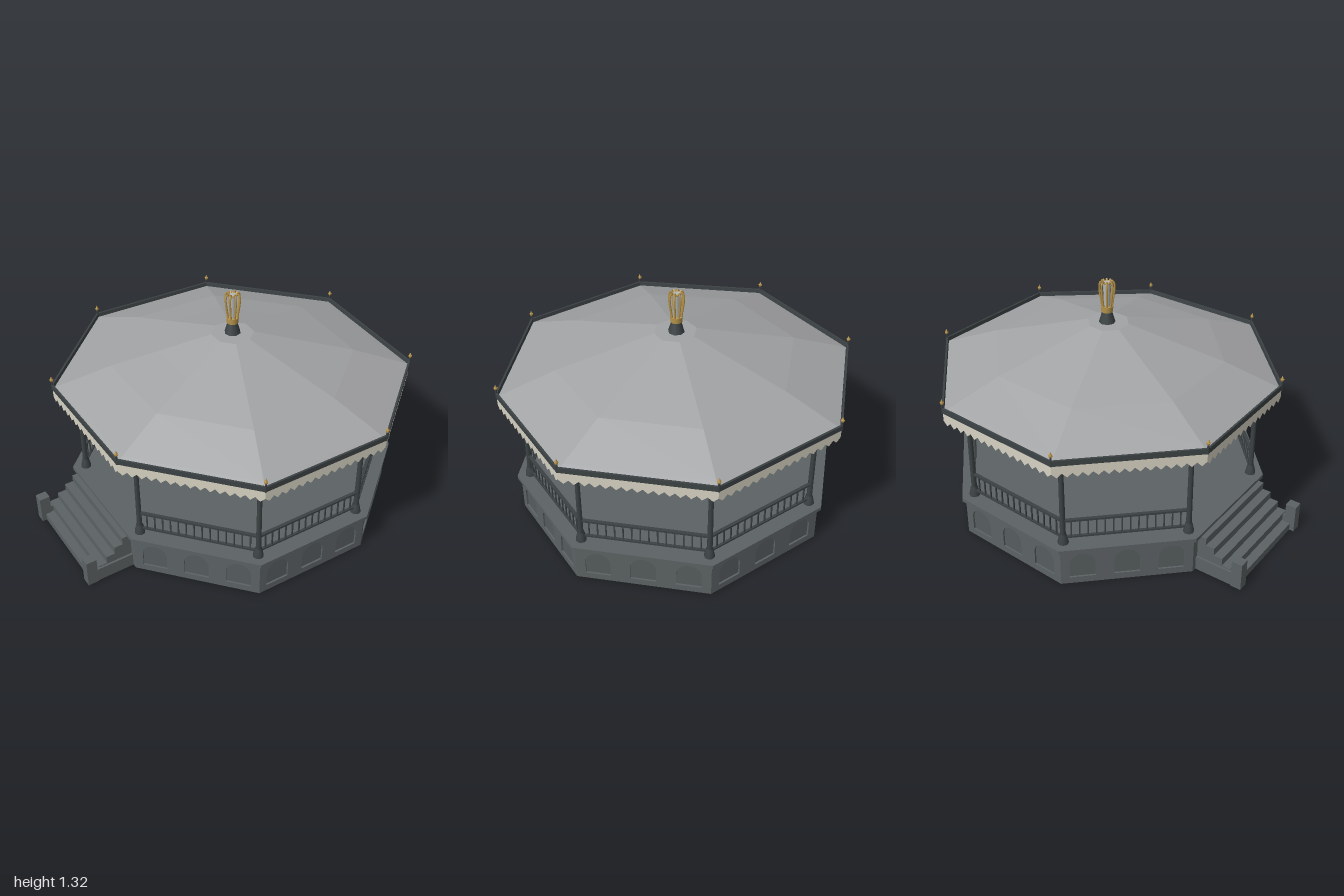
import * as THREE from 'three';

// Eave corners (x, z) of the slightly irregular octagon, and its centre
const EAVES = [[-0.46, -0.92], [0.33, -0.99], [0.93, -0.475], [0.95, 0.235],
  [0.485, 0.815], [-0.275, 0.865], [-0.87, 0.405], [-0.955, -0.35]];
const CX = 0.015, CZ = -0.055;
const STAIR_SIDE = 5;

const mat = (name, color) => Object.assign(new THREE.MeshStandardMaterial({ color }), { name });
const corner = (i, s, y = 0) => {
  const [x, z] = EAVES[i % 8];
  return new THREE.Vector3(CX + (x - CX) * s, y, CZ + (z - CZ) * s);
};

// Octagonal skin through rows of [scale, height], listed bottom to top
function loft(rows) {
  const pos = [];
  const put = (...pts) => pts.forEach((p) => pos.push(p.x, p.y, p.z));
  for (let r = 0; r < rows.length - 1; r++) {
    for (let i = 0; i < 8; i++) {
      const a = corner(i, ...rows[r]), b = corner(i + 1, ...rows[r]);
      const c = corner(i + 1, ...rows[r + 1]), d = corner(i, ...rows[r + 1]);
      if (rows[r][0] > 0) put(a, c, b);
      if (rows[r + 1][0] > 0) put(a, d, c);
    }
  }
  const g = new THREE.BufferGeometry();
  g.setAttribute('position', new THREE.Float32BufferAttribute(pos, 3));
  g.computeVertexNormals();
  return g;
}

export function createModel() {
  const model = new THREE.Group();
  const stone = mat('stone', 0x5c6264);
  const panelStone = mat('panelStone', 0x565c5e);
  panelStone.side = THREE.DoubleSide;
  const iron = mat('darkIron', 0x3c4244);
  const roofMat = mat('roofGrey', 0xa2a3a5);
  const ceilingMat = mat('ceiling', 0xaaa399);
  const cream = mat('creamValance', 0xd6d2c2);
  cream.side = THREE.DoubleSide;
  const gold = mat('gold', 0xb8954c);
  const glass = mat('lanternGlass', 0xb4b6b4);

  const add = (parent, name, geo, material, x = 0, y = 0, z = 0) => {
    const m = new THREE.Mesh(geo, material);
    m.name = name;
    m.position.set(x, y, z);
    parent.add(m);
    return m;
  };
  const box = (parent, name, material, w, h, d, x, y, z) =>
    add(parent, name, new THREE.BoxGeometry(w, h, d), material, x, y, z);

  // Group on side i: local x along the edge, local z outward
  const side = (i, s, name) => {
    const a = corner(i, s), b = corner(i + 1, s);
    const g = new THREE.Group();
    g.name = name;
    g.position.copy(a).add(b).multiplyScalar(0.5);
    g.rotation.y = Math.atan2(b.z - a.z, a.x - b.x);
    model.add(g);
    return [g, a.distanceTo(b)];
  };

  // Floor slab, roof, ceiling and gutter
  add(model, 'floor', loft([[0, 0.21], [0.936, 0.21], [0.936, 0.232], [0, 0.232]]), stone);
  add(model, 'roof', loft([[0.99, 0.803], [0.95, 0.818], [0.67, 0.92], [0.41, 0.99], [0.117, 1.073], [0, 1.073]]), roofMat);
  add(model, 'ceiling', loft([[0, 0.8], [0.99, 0.8]]), ceilingMat);
  add(model, 'gutter', loft([[0.985, 0.797], [1, 0.797], [1, 0.827], [0.988, 0.827], [0.985, 0.8]]), iron);

  const archHole = (x) => {
    const p = new THREE.Path();
    p.moveTo(x - 0.068, 0.038);
    p.lineTo(x + 0.068, 0.038);
    p.lineTo(x + 0.068, 0.12);
    p.absarc(x, 0.12, 0.068, 0, Math.PI, false);
    p.lineTo(x - 0.068, 0.038);
    return p;
  };

  for (let i = 0; i < 8; i++) {
    // Hollow plinth wall with three blind arches
    const [base, bl] = side(i, 0.915, 'plinthSide');
    const wall = new THREE.Shape();
    wall.moveTo(-bl / 2, 0);
    wall.lineTo(bl / 2, 0);
    wall.lineTo(bl / 2, 0.212);
    wall.lineTo(-bl / 2, 0.212);
    wall.closePath();
    if (i !== STAIR_SIDE) {
      for (const k of [-1, 0, 1]) wall.holes.push(archHole(k * bl * 0.335));
      add(base, 'archPanels', new THREE.PlaneGeometry(bl - 0.03, 0.19), panelStone, 0, 0.11, -0.01);
    }
    add(base, 'plinthWall', new THREE.ExtrudeGeometry(wall, { depth: 0.02, bevelEnabled: false, curveSegments: 10 }), stone, 0, 0, -0.02);

    // Valance with a pointed lower edge
    const [eave, el] = side(i, 0.995, 'valanceSide');
    const v = new THREE.Shape();
    v.moveTo(el / 2, 0.798);
    v.lineTo(-el / 2, 0.798);
    const teeth = 15;
    for (let k = 0; k < teeth; k++) {
      v.lineTo(-el / 2 + (k / teeth) * el, 0.75);
      v.lineTo(-el / 2 + ((k + 0.5) / teeth) * el, 0.726);
    }
    v.lineTo(el / 2, 0.75);
    add(eave, 'valance', new THREE.ShapeGeometry(v), cream);

    // Beam, curved brace and railing between posts
    const [bay, pl] = side(i, 0.86, 'bay');
    box(bay, 'beam', iron, pl, 0.04, 0.02, 0, 0.78, 0);
    const arc = new THREE.QuadraticBezierCurve3(new THREE.Vector3(-pl / 2, 0.66, 0),
      new THREE.Vector3(0, 0.82, 0), new THREE.Vector3(pl / 2, 0.66, 0));
    add(bay, 'archedBrace', new THREE.TubeGeometry(arc, 16, 0.007, 6), iron);
    if (i !== STAIR_SIDE) {
      box(bay, 'topRail', iron, pl, 0.012, 0.018, 0, 0.37, 0);
      box(bay, 'bottomRail', iron, pl, 0.01, 0.014, 0, 0.267, 0);
      for (let k = 1; k < 15; k++) {
        box(bay, 'baluster', iron, 0.007, 0.1, 0.007, (k / 15 - 0.5) * pl, 0.318, 0);
      }
    }

    // Post with flared foot
    const p = corner(i, 0.86);
    const post = [[0.03, 0.23], [0.028, 0.245], [0.019, 0.285], [0.015, 0.29], [0.013, 0.72], [0.02, 0.735], [0.02, 0.8]];
    add(model, 'post', new THREE.LatheGeometry(post.map((q) => new THREE.Vector2(...q)), 8), iron, p.x, 0, p.z);

    // Corner finial
    const e = corner(i, 0.995);
    add(model, 'finialRod', new THREE.CylinderGeometry(0.005, 0.006, 0.06, 6), iron, e.x, 0.825, e.z);
    add(model, 'finialCollar', new THREE.CylinderGeometry(0.011, 0.008, 0.01, 8), gold, e.x, 0.855, e.z);
    add(model, 'finialTip', new THREE.ConeGeometry(0.009, 0.022, 8), gold, e.x, 0.87, e.z);
  }

  // Stairs with low side walls and end piers
  const [stairs, ] = side(STAIR_SIDE, 0.915, 'stairs');
  for (let k = 0; k < 5; k++) {
    const h = 0.043 * (k + 1), front = 0.25 - 0.05 * k;
    const depth = k === 4 ? front : 0.05;
    box(stairs, 'step', stone, 0.61, h, depth, 0, h / 2, front - depth / 2);
  }
  for (const x of [-0.295, 0.295]) {
    box(stairs, 'stairWall', stone, 0.045, 0.08, 0.26, x, 0.04, 0.13);
    box(stairs, 'stairPier', stone, 0.055, 0.16, 0.06, x, 0.08, 0.246);
  }

  // Crown lantern on the roof
  const crown = new THREE.Group();
  crown.name = 'crownLantern';
  crown.position.set(0.012, 0, -0.062);
  model.add(crown);
  add(crown, 'crownPedestal', new THREE.CylinderGeometry(0.026, 0.046, 0.07, 8), iron, 0, 1.105, 0);
  add(crown, 'crownBand', new THREE.CylinderGeometry(0.034, 0.032, 0.032, 16), gold, 0, 1.152, 0);
  add(crown, 'lanternCore', new THREE.CylinderGeometry(0.021, 0.018, 0.14, 8), glass, 0, 1.236, 0);
  const rib = new THREE.CatmullRomCurve3([[0.027, 1.165], [0.032, 1.2], [0.04, 1.26], [0.04, 1.295], [0.03, 1.315], [0.02, 1.305]]
    .map(([x, y]) => new THREE.Vector3(x, y, 0)));
  const ribGeo = new THREE.TubeGeometry(rib, 14, 0.0055, 6);
  for (let k = 0; k < 8; k++) {
    add(crown, 'crownRib', ribGeo, gold).rotation.y = (k * Math.PI) / 4;
  }
  const ring = add(crown, 'crownRing', new THREE.TorusGeometry(0.022, 0.004, 6, 16), gold, 0, 1.305, 0);
  ring.rotation.x = Math.PI / 2;

  return model;
}
